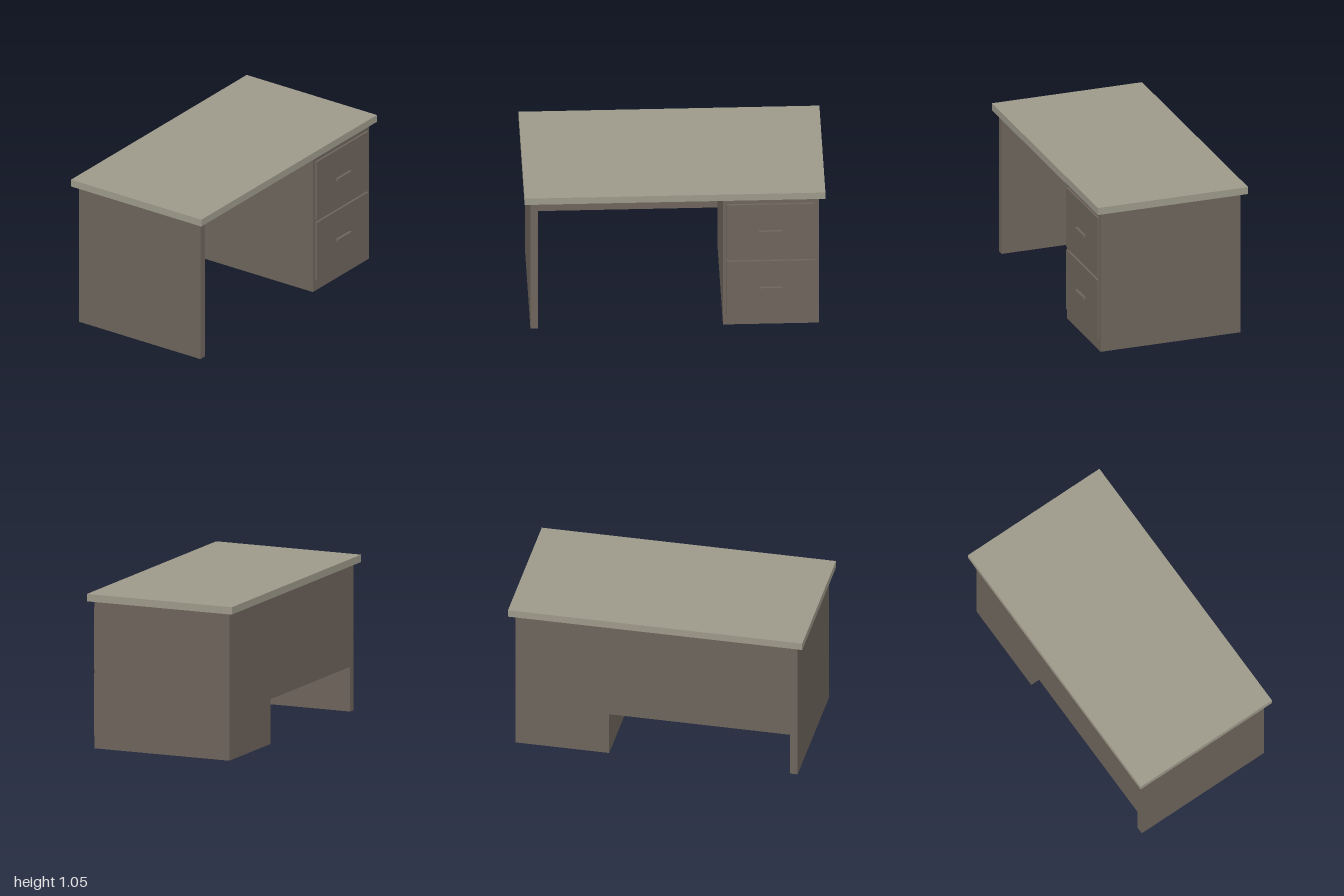
import * as THREE from 'three';

export function createModel() {
  const desk = new THREE.Group();
  desk.name = 'desk';

  const topMaterial = new THREE.MeshStandardMaterial({ color: 0x9c998a });
  topMaterial.name = 'greyBeigeTop';
  const bodyMaterial = new THREE.MeshStandardMaterial({ color: 0x6d645b, side: THREE.DoubleSide });
  bodyMaterial.name = 'brownBody';

  // Box given by its limits on each axis
  function addBox(name, material, [x0, x1], [y0, y1], [z0, z1]) {
    const geometry = new THREE.BoxGeometry(x1 - x0, y1 - y0, z1 - z0);
    geometry.translate((x0 + x1) / 2, (y0 + y1) / 2, (z0 + z1) / 2);
    const mesh = new THREE.Mesh(geometry, material);
    mesh.name = name;
    desk.add(mesh);
    return mesh;
  }

  const depth = [-0.495, 0.497];

  addBox('tabletop', topMaterial, [-1, 1], [1, 1.05], [-0.533, 0.533]);
  addBox('sidePanel', bodyMaterial, [-0.96, -0.91], [0, 1], depth);
  addBox('backPanel', bodyMaterial, [-0.91, 0.32], [0.303, 1], [-0.495, -0.468]);

  // Drawer pedestal: a thin-walled shell, open underneath
  const pedestal = addBox('pedestal', bodyMaterial, [0.32, 0.957], [0, 1], depth);
  const index = Array.from(pedestal.geometry.index.array);
  index.splice(18, 6); // drop the bottom face
  pedestal.geometry.setIndex(index);
  pedestal.geometry.clearGroups();

  // Two drawer fronts with bar handles
  [['lower', 0.08], ['upper', 0.526]].forEach(([level, y]) => {
    addBox(level + 'DrawerFront', bodyMaterial, [0.345, 0.931], [y, y + 0.424], [0.497, 0.512]);
    addBox(level + 'DrawerHandle', bodyMaterial, [0.56, 0.716], [y + 0.203, y + 0.222], [0.512, 0.531]);
  });

  return desk;
}
